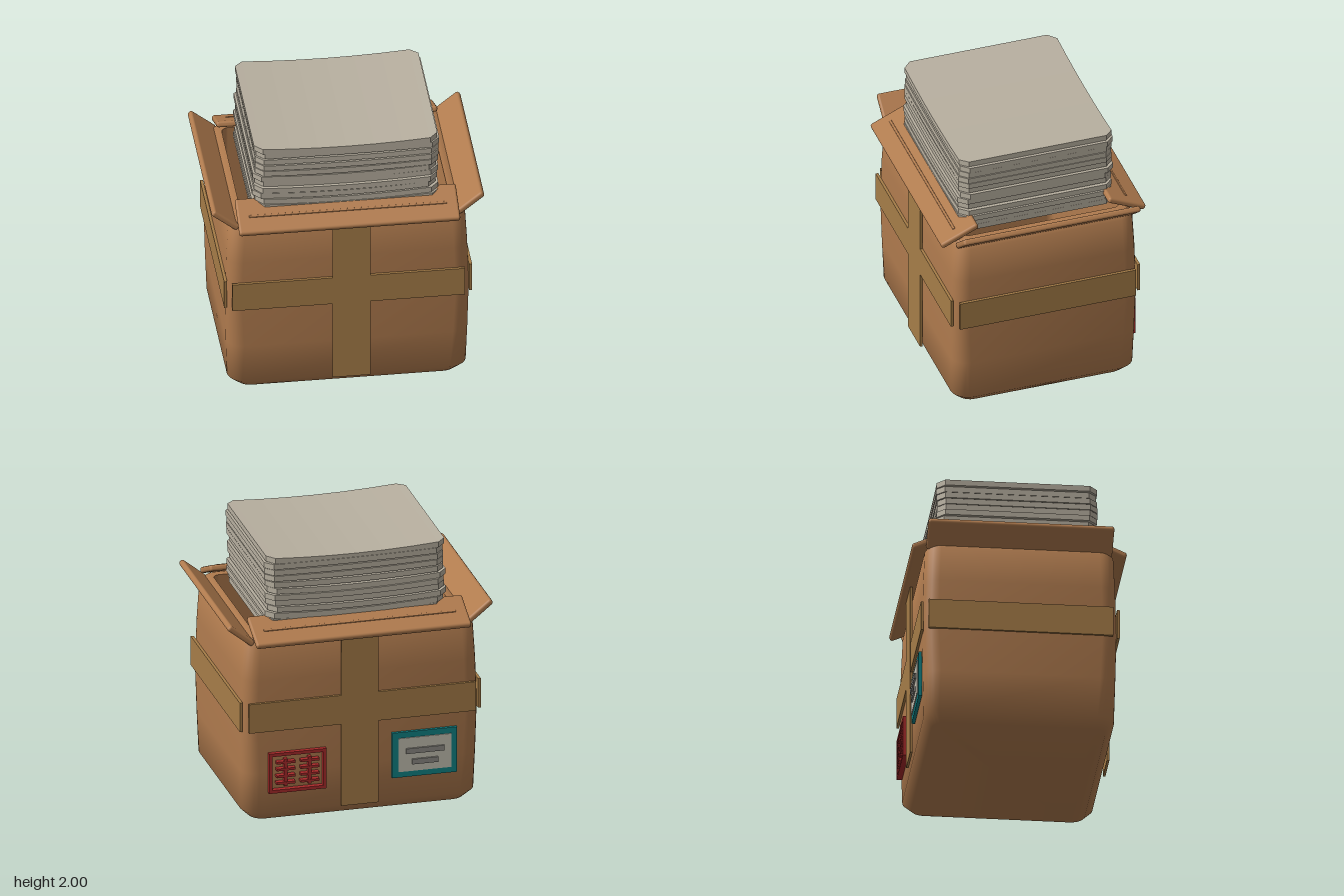
import * as THREE from 'three';
import { toCreasedNormals, mergeVertices } from 'three/addons/utils/BufferGeometryUtils.js';
import { RoundedBoxGeometry } from 'three/addons/geometries/RoundedBoxGeometry.js';

const mat = (color, extra = {}) => new THREE.MeshStandardMaterial({ color, ...extra });
const card = mat(0xb07b4e);
const tape = mat(0xa67d48);
const paper = mat(0xb8b0a0, { flatShading: true });
const teal = mat(0x108285);
const red = mat(0xa82a2a);
const labelPaper = mat(0xc4c0b2);
const ink = mat(0x8c8a84);

function add(parent, name, geometry, material, x = 0, y = 0, z = 0) {
  const mesh = new THREE.Mesh(geometry, material);
  mesh.name = name;
  mesh.position.set(x, y, z);
  parent.add(mesh);
  return mesh;
}

// Box given by its limits in x and y, with a centre and thickness in z
function plate(parent, name, x0, x1, y0, y1, z, depth, material) {
  return add(parent, name, new THREE.BoxGeometry(x1 - x0, y1 - y0, depth), material,
    (x0 + x1) / 2, (y0 + y1) / 2, z);
}

// Skin through rounded-rectangle rings [halfX, halfZ, cornerRadius, y], closed at both ends
function loftRings(rings, steps = 6) {
  const pos = [], idx = [], n = 4 * (steps + 1);
  for (const [hx, hz, r, y] of rings) {
    for (let q = 0; q < 4; q++) {
      const sx = q === 0 || q === 3 ? 1 : -1, sz = q < 2 ? 1 : -1;
      for (let i = 0; i <= steps; i++) {
        const a = (q + i / steps) * Math.PI / 2;
        pos.push(sx * (hx - r) + r * Math.cos(a), y, sz * (hz - r) + r * Math.sin(a));
      }
    }
  }
  for (let k = 0; k < rings.length - 1; k++) {
    for (let i = 0; i < n; i++) {
      const a = k * n + i, b = k * n + (i + 1) % n;
      idx.push(a, a + n, b, b, a + n, b + n);
    }
  }
  const last = (rings.length - 1) * n;
  for (let i = 1; i < n - 1; i++) {
    idx.push(0, i, i + 1);
    idx.push(last, last + i + 1, last + i);
  }
  const g = new THREE.BufferGeometry();
  g.setAttribute('position', new THREE.Float32BufferAttribute(pos, 3));
  g.setIndex(idx);
  return toCreasedNormals(mergeVertices(g), 0.9);
}

// One bundle of paper: cut corners, sagging in the middle
function bundleGeometry(hx, hz, t, cut, sag) {
  const seg = 8;
  const g = new THREE.BoxGeometry(2, t, 2 * hz, seg, 1, 1);
  const p = g.attributes.position;
  for (let i = 0; i < p.count; i++) {
    const s = Math.round((p.getX(i) + 1) * seg / 2);
    const end = s === 0 || s === seg;
    const x = end ? Math.sign(p.getX(i)) * hx : (s - seg / 2) / (seg / 2 - 1) * (hx - cut);
    if (end) p.setZ(i, Math.sign(p.getZ(i)) * (hz - cut));
    p.setX(i, x);
    p.setY(i, p.getY(i) - sag * (1 - (x / hx) ** 2));
  }
  g.computeVertexNormals();
  return g;
}

export function createModel() {
  const model = new THREE.Group();
  model.name = 'boxOfPapers';

  // Open carton: outer wall, rim, inner wall and floor
  add(model, 'carton', loftRings([
    [0.80, 0.63, 0.10, 0], [0.87, 0.69, 0.13, 0.07], [0.88, 0.698, 0.12, 0.38],
    [0.888, 0.705, 0.11, 0.75], [0.877, 0.697, 0.11, 1.1], [0.862, 0.685, 0.11, 1.37],
    [0.82, 0.66, 0.09, 1.42], [0.76, 0.60, 0.05, 1.42], [0.755, 0.60, 0.05, 0.08],
  ]), card);

  for (const s of [1, -1]) {
    // Front and back flaps slope down outwards
    const long = new THREE.Group();
    long.name = s > 0 ? 'frontFlap' : 'backFlap';
    long.position.set(0, 1.457, s * 0.637);
    long.rotation.x = s * 0.42;
    add(long, 'flapPanel', new RoundedBoxGeometry(1.61, 0.045, 0.305, 2, 0.018), card);
    add(long, 'flapCrease', new RoundedBoxGeometry(1.44, 0.012, 0.02, 2, 0.005), card, 0, 0.022, s * 0.01);
    model.add(long);

    // Side flaps rise outwards
    const side = add(model, s > 0 ? 'leftFlap' : 'rightFlap',
      new RoundedBoxGeometry(0.24, 0.045, 1.35, 2, 0.018), card, s * 0.893, 1.456, -0.005);
    side.rotation.z = s * 0.68;

    // Tape around the carton
    const name = s > 0 ? 'front' : 'back';
    plate(model, name + 'TapeAcross', -0.85, 0.845, 0.71, 0.935, s * 0.712, 0.02, tape);
    plate(model, name + 'TapeUpright', -0.12, 0.155, 0.075, 1.39, s * 0.714, 0.018, tape);
    add(model, s > 0 ? 'leftTape' : 'rightTape',
      new THREE.BoxGeometry(0.022, 0.225, 1.34), tape, s * 0.892, 0.822, 0);
  }

  // Stack of papers, each bundle slightly shifted
  const stack = new THREE.Group();
  stack.name = 'paperStack';
  model.add(stack);
  let seed = 7;
  const jitter = (k) => {
    seed = (seed * 16807) % 2147483647;
    return (seed / 2147483647 - 0.5) * 2 * k;
  };
  const pitch = 0.0475, thick = 0.042;
  for (let i = 0; i < 13; i++) {
    const top = i === 0;
    const sag = top ? 0.026 : 0.018 + jitter(0.01);
    add(stack, 'paperBundle', bundleGeometry(0.668, 0.582, thick, 0.058, sag), paper,
      top ? 0 : jitter(0.018), 2 - thick / 2 - i * pitch, top ? 0 : jitter(0.01));
  }

  // Shipping label on the back
  const label = new THREE.Group();
  label.name = 'addressLabel';
  model.add(label);
  plate(label, 'labelBorder', -0.71, -0.225, 0.25, 0.60, -0.712, 0.025, teal);
  plate(label, 'labelSheet', -0.665, -0.27, 0.295, 0.555, -0.722, 0.02, labelPaper);
  plate(label, 'labelBar', -0.61, -0.325, 0.435, 0.475, -0.735, 0.02, ink);
  plate(label, 'labelBar', -0.565, -0.37, 0.35, 0.39, -0.735, 0.02, ink);

  // Red stamp on the back: a frame with two crossbarred columns
  const stamp = new THREE.Group();
  stamp.name = 'stamp';
  model.add(stamp);
  const [x0, x1, y0, y1, w] = [0.27, 0.70, 0.23, 0.54, 0.025];
  for (const y of [y0, y1 - w]) plate(stamp, 'stampFrame', x0, x1, y, y + w, -0.715, 0.04, red);
  for (const x of [x0, x1 - w]) plate(stamp, 'stampFrame', x, x + w, y0, y1, -0.715, 0.04, red);
  for (const cx of [0.395, 0.575]) {
    plate(stamp, 'stampUpright', cx - 0.012, cx + 0.012, 0.28, 0.49, -0.715, 0.045, red);
    for (let i = 0; i < 4; i++) {
      const y = 0.305 + i * 0.053;
      plate(stamp, 'stampCrossbar', cx - 0.07, cx + 0.07, y - 0.009, y + 0.009, -0.715, 0.05, red);
    }
  }

  return model;
}
